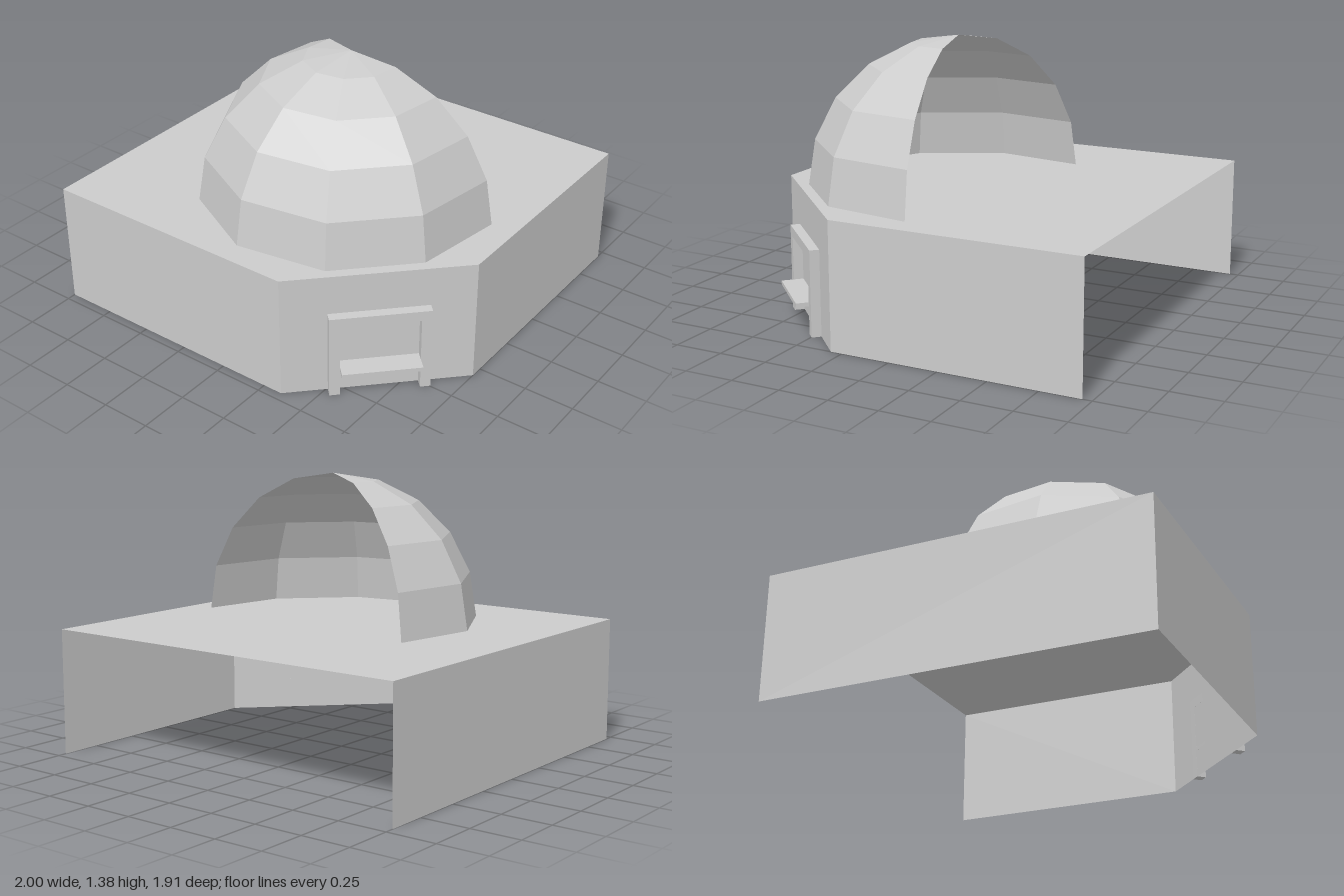
import * as THREE from 'three';

const HEIGHT = 0.63;

export function createModel() {
  const model = new THREE.Group();
  const material = new THREE.MeshStandardMaterial({
    color: 0xcccccc, flatShading: true, side: THREE.DoubleSide,
  });
  const add = (parent, name, geometry) => {
    const mesh = new THREE.Mesh(geometry, material);
    mesh.name = name;
    parent.add(mesh);
    return mesh;
  };

  // Plan outline [x, z] from back left round the front to back right; the back is open
  const plan = [[-1, -0.955], [-1, 0.955], [0.35, 0.955], [1, 0.31], [1, -0.955]];
  const names = ['sideWallRight', 'frontWall', 'doorWall', 'sideWallLeft'];
  names.forEach((name, i) => {
    const [x0, z0] = plan[i], [x1, z1] = plan[i + 1];
    const wall = add(model, name, new THREE.PlaneGeometry(Math.hypot(x1 - x0, z1 - z0), HEIGHT));
    wall.position.set((x0 + x1) / 2, HEIGHT / 2, (z0 + z1) / 2);
    wall.rotation.y = -Math.atan2(z1 - z0, x1 - x0);
  });

  // Flat roof
  const outline = new THREE.Shape(plan.map(([x, z]) => new THREE.Vector2(x, -z)));
  add(model, 'roof', new THREE.ShapeGeometry(outline).rotateX(-Math.PI / 2))
    .position.y = HEIGHT;

  // Open dome shell: six of the ten sides of a faceted hemisphere
  const step = Math.PI / 5;
  const dome = add(model, 'dome', new THREE.SphereGeometry(
    0.747, 6, 5, -0.75 * step, 6 * step, 0, Math.PI / 2));
  dome.position.set(0.13, HEIGHT, 0.1);

  // Doorway on the diagonal wall
  const doorway = new THREE.Group();
  doorway.name = 'doorway';
  doorway.position.set(0.677, 0, 0.631);
  doorway.rotation.y = Math.PI / 4;
  model.add(doorway);

  const frame = new THREE.Shape([
    [-0.24, 0], [-0.19, 0], [-0.19, 0.38], [0.19, 0.38],
    [0.19, 0], [0.24, 0], [0.24, 0.43], [-0.24, 0.43],
  ].map(([x, y]) => new THREE.Vector2(x, y)));
  add(doorway, 'doorFrame', new THREE.ExtrudeGeometry(frame, { depth: 0.048, bevelEnabled: false }));

  // Ledge between the posts
  add(doorway, 'ledge', new THREE.BoxGeometry(0.38, 0.02, 0.11)).position.set(0, 0.15, 0.055);

  return model;
}
